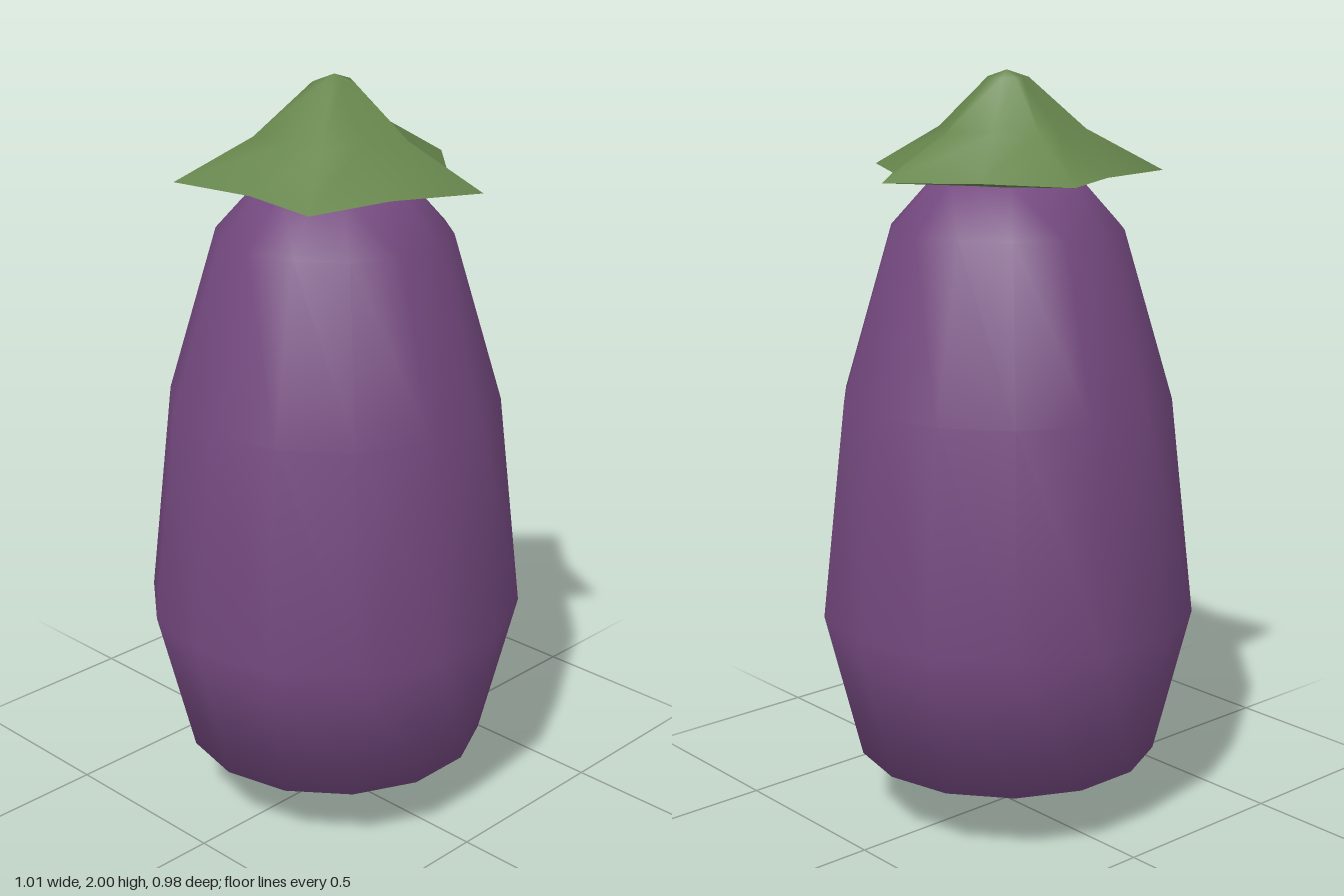
import * as THREE from 'three';

const material = (name, color, side = THREE.FrontSide) => {
  const m = new THREE.MeshStandardMaterial({ color, side });
  m.name = name;
  return m;
};

// Smooth surface through star-shaped rings [tipRadius, notchRadius, tipY, notchY], listed bottom to top
function starLoft(rings) {
  const n = 10, pos = [], index = [];
  for (const [tipR, notchR, tipY, notchY] of rings) {
    for (let i = 0; i < n; i++) {
      const a = (i / n) * Math.PI * 2, r = i % 2 ? notchR : tipR;
      pos.push(r * Math.cos(a), i % 2 ? notchY : tipY, -r * Math.sin(a));
    }
  }
  for (let k = 0; k < rings.length - 1; k++) {
    for (let i = 0; i < n; i++) {
      const a = k * n + i, b = k * n + (i + 1) % n;
      index.push(a, b, b + n, a, b + n, a + n);
    }
  }
  const g = new THREE.BufferGeometry();
  g.setAttribute('position', new THREE.Float32BufferAttribute(pos, 3));
  g.setIndex(index);
  g.computeVertexNormals();
  return g;
}

export function createModel() {
  const purple = material('purple skin', 0x74497f);
  const green = material('green leaf', 0x67864d, THREE.DoubleSide);
  const model = new THREE.Group();
  model.name = 'eggplant';
  const add = (name, geometry, mat) => {
    const mesh = new THREE.Mesh(geometry, mat);
    mesh.name = name;
    model.add(mesh);
  };

  // Fourteen-sided fruit with a corner on the x axis
  const profile = [[0, 0], [0.405, 0.18], [0.503, 0.58], [0.438, 1.16], [0.307, 1.6], [0.19, 1.73], [0, 1.8]]
    .map(([r, y]) => new THREE.Vector2(r, y));
  add('fruitBody', new THREE.LatheGeometry(profile, 14, Math.PI / 2), purple);

  // Five-pointed leaf cap: upper surface rising to a rounded nub
  add('leafCapTop', starLoft([
    [0.407, 0.293, 1.742, 1.742],
    [0.205, 0.15, 1.85, 1.85],
    [0.056, 0.046, 1.982, 1.982],
    [0.001, 0.001, 2, 2],
  ]), green);

  // Underside of the cap, dipping slightly around the fruit
  add('leafCapUnderside', starLoft([
    [0.001, 0.001, 1.722, 1.722],
    [0.2, 0.18, 1.722, 1.722],
    [0.407, 0.293, 1.742, 1.742],
  ]), green);

  return model;
}
